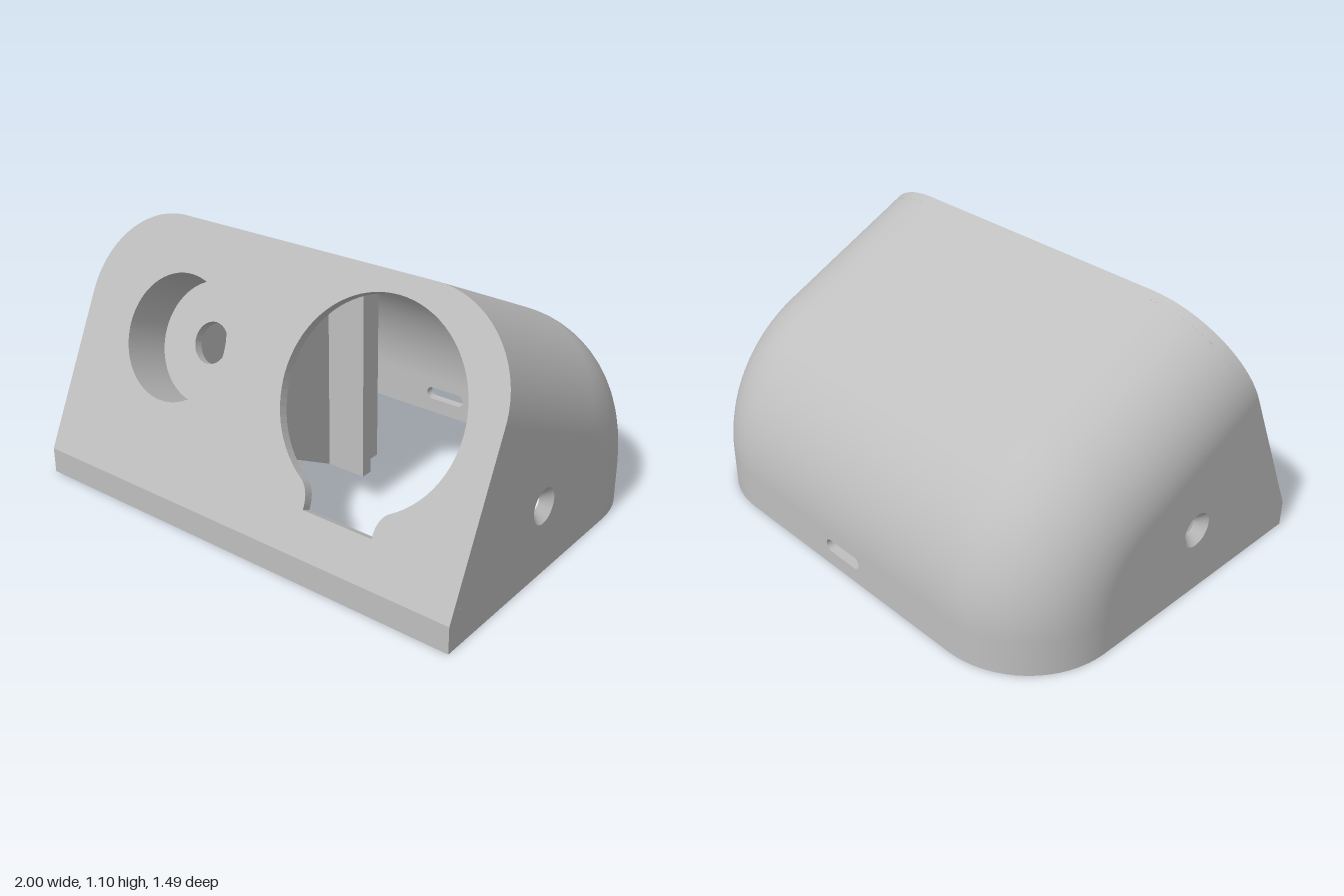
import * as THREE from 'three';
import { toCreasedNormals } from 'three/addons/utils/BufferGeometryUtils.js';

const TILT = THREE.MathUtils.degToRad(25);
const S = Math.sin(TILT), C = Math.cos(TILT);
const WALL = 0.04, FILLET = 0.4, HALF = 0.6;      // wall, edge rounding, flat half width
const FRONT_Z = 0.745, LIP_Y = 0.11, FACE_H = 1.087;
const R = 0.72, ARC_Z = -0.025, ARC_Y = 0.156;    // back curve

const grey = new THREE.MeshStandardMaterial({ color: 0xbfbfbf, side: THREE.DoubleSide });
grey.name = 'plain grey';

function add(parent, name, geometry) {
  const mesh = new THREE.Mesh(geometry, grey);
  mesh.name = name;
  parent.add(mesh);
  return mesh;
}

// Side profile from the front edge over the roof to the floor, moved inwards by d
function profile(d) {
  const top = LIP_Y + (FACE_H - d) * C, z = FRONT_Z - (FACE_H - d) * S;
  const pts = [{ z, y: top, nz: -S, ny: C }];
  const steps = 28;
  for (let k = 0; k <= steps; k++) {
    const a = Math.PI / 2 - TILT - (k / steps) * (Math.PI / 2 - TILT);
    const nz = -Math.cos(a), ny = Math.sin(a);
    pts.push({ z: ARC_Z + (R - d) * nz, y: ARC_Y + (R - d) * ny, nz, ny });
  }
  pts.push({ z: ARC_Z - (R - d), y: 0, nz: -1, ny: 0 });
  return pts;
}

// Sections across the width: rounded right edge, flat middle, rounded left edge
function sections(offset) {
  const out = [], r = FILLET - offset, n = 16;
  for (const s of [-1, 1]) {
    for (let k = 0; k <= n; k++) {
      const a = (s < 0 ? n - k : k) / n * Math.PI / 2;
      out.push({ x: s * (HALF + r * Math.sin(a)), sx: s * Math.sin(a), c: Math.cos(a),
        pts: profile(FILLET - r * Math.cos(a)) });
    }
  }
  return out;
}

function shellSurface(offset, sign) {
  const secs = sections(offset), rows = secs[0].pts.length;
  const pos = [], nor = [], idx = [];
  for (const s of secs) for (const p of s.pts) {
    pos.push(s.x, p.y, p.z);
    nor.push(sign * s.sx, sign * p.ny * s.c, sign * p.nz * s.c);
  }
  for (let i = 0; i < secs.length - 1; i++) for (let k = 0; k < rows - 1; k++) {
    if (i === secs.length / 2 - 1 && k === rows - 2) continue;   // room for the slotted panel
    const a = i * rows + k, b = a + rows;
    if (sign > 0) idx.push(a, b, a + 1, b, b + 1, a + 1);
    else idx.push(a, a + 1, b, b, a + 1, b + 1);
  }
  const g = new THREE.BufferGeometry();
  g.setAttribute('position', new THREE.Float32BufferAttribute(pos, 3));
  g.setAttribute('normal', new THREE.Float32BufferAttribute(nor, 3));
  g.setIndex(idx);
  return g;
}

// Flat rim under the walls
function rim() {
  const loop = (o) => {
    const p = sections(o).map((s) => [s.x, s.pts[s.pts.length - 1].z]);
    return [[-1 + o, FRONT_Z], ...p, [1 - o, FRONT_Z]];
  };
  const a = loop(0), b = loop(WALL), pos = [], idx = [];
  a.forEach((p, i) => {
    pos.push(p[0], 0, p[1], b[i][0], 0, b[i][1]);
    if (i) idx.push(2 * i - 2, 2 * i, 2 * i - 1, 2 * i, 2 * i + 1, 2 * i - 1);
  });
  const g = new THREE.BufferGeometry();
  g.setAttribute('position', new THREE.Float32BufferAttribute(pos, 3));
  g.setIndex(idx);
  g.computeVertexNormals();
  return g;
}

const circle = (x, y, r) => new THREE.Path().absarc(x, y, r, 0, Math.PI * 2, true);
const extrude = (shape, depth) =>
  new THREE.ExtrudeGeometry(shape, { depth, bevelEnabled: false, curveSegments: 32 });

// Extrudes a [z, y] outline across x from x0 to x1
function slab(parent, name, outline, x0, x1) {
  const shape = new THREE.Shape(outline.map(([z, y]) => new THREE.Vector2(-z, y)));
  const mesh = add(parent, name, extrude(shape, x1 - x0));
  mesh.rotation.y = Math.PI / 2;
  mesh.position.x = x0;
}

function frontFace() {
  const face = new THREE.Group();
  face.name = 'frontFace';
  face.position.set(0, LIP_Y, FRONT_Z);
  face.rotation.x = -TILT;

  const shape = new THREE.Shape();
  const side = FACE_H - FILLET;
  shape.moveTo(-1, 0).lineTo(1, 0).lineTo(1, side);
  shape.absarc(HALF, side, FILLET, 0, Math.PI / 2, false);
  shape.absarc(-HALF, side, FILLET, Math.PI / 2, Math.PI, false);
  shape.closePath();

  // Large round opening with a flared notch below
  const cx = 0.467, cy = 0.615, r = 0.393, w = 0.155, low = 0.171;
  const a = Math.acos(0.2 / r), ay = cy - r * Math.sin(a);
  const opening = new THREE.Path();
  opening.moveTo(cx - w, low).lineTo(cx + w, low);
  opening.lineTo(cx + w, low + 0.015);
  opening.quadraticCurveTo(cx + w + 0.003, 0.25, cx + 0.2, ay);
  opening.absarc(cx, cy, r, -a, Math.PI + a, false);
  opening.quadraticCurveTo(cx - w - 0.003, 0.25, cx - w, low + 0.015);
  opening.closePath();

  const px = -0.49, py = 0.613, pr = 0.257;
  shape.holes.push(opening, circle(px, py, pr));
  add(face, 'frontPanel', extrude(shape, WALL)).position.z = -WALL;

  // Recessed cup with a hole in its floor
  const cup = [[pr, 0], [pr, -0.213], [0.087, -0.213], [0.087, -0.253], [0.297, -0.253], [0.297, -0.03]]
    .map(([x, y]) => new THREE.Vector2(x, y));
  const mesh = add(face, 'recessedCup', toCreasedNormals(new THREE.LatheGeometry(cup, 64), 0.6));
  mesh.rotation.x = Math.PI / 2;
  mesh.position.set(px, py, 0);
  return face;
}

export function createModel() {
  const model = new THREE.Group();
  model.name = 'tiltedHousing';

  add(model, 'outerShell', shellSurface(0, 1));
  add(model, 'innerShell', shellSurface(WALL, -1));
  add(model, 'bottomRim', rim());
  model.add(frontFace());
  add(model, 'frontLip', new THREE.BoxGeometry(2, LIP_Y, WALL)).position.set(0, LIP_Y / 2, FRONT_Z - WALL / 2);

  // Back panel with a rounded slot
  const back = new THREE.Shape();
  back.moveTo(-HALF, 0).lineTo(HALF, 0).lineTo(HALF, ARC_Y).lineTo(-HALF, ARC_Y).closePath();
  const slot = new THREE.Path();
  slot.absarc(0.07, 0.095, 0.028, -Math.PI / 2, Math.PI / 2, false);
  slot.absarc(-0.07, 0.095, 0.028, Math.PI / 2, Math.PI * 1.5, false);
  slot.closePath();
  back.holes.push(slot);
  add(model, 'slottedBackPanel', extrude(back, WALL)).position.z = -FRONT_Z;

  // Side walls with countersunk screw holes
  const hz = 0.15, hy = 0.29, wide = 0.072, narrow = 0.032;
  const outline = profile(FILLET).map((p) => new THREE.Vector2(-p.z, p.y));
  outline.push(new THREE.Vector2(-FRONT_Z, 0), new THREE.Vector2(-FRONT_Z, LIP_Y));
  for (const s of [-1, 1]) {
    for (const [name, x, r] of [['outerSide', 1, wide], ['innerSide', 1 - WALL, narrow]]) {
      const shape = new THREE.Shape(outline);
      shape.holes.push(circle(-hz, hy, r));
      const wall = add(model, name, new THREE.ShapeGeometry(shape, 24));
      wall.rotation.y = Math.PI / 2;
      wall.position.x = s * x;
    }
    const cone = add(model, 'countersink', new THREE.CylinderGeometry(wide, narrow, WALL, 40, 1, true));
    cone.rotation.z = -s * Math.PI / 2;
    cone.position.set(s * (1 - WALL / 2), hy, hz);
  }

  // Inner bracket hanging from the roof, tied to the front by a rib
  slab(model, 'bracketPlate', [[0.067, 0.19], [0.12, 0.19], [0.12, 0.98], [0.067, 0.96]], -0.18, 0.19);
  slab(model, 'bracketFront', [[0.11, 0.13], [0.16, 0.13], [0.16, 1], [0.11, 0.975]], -0.18, 0.19);
  slab(model, 'bracketRib', [[0.15, 0.13], [0.16, 0.13], [0.595, 0.36], [0.285, 1.04], [0.15, 0.99]], -0.02, 0.02);
  return model;
}
